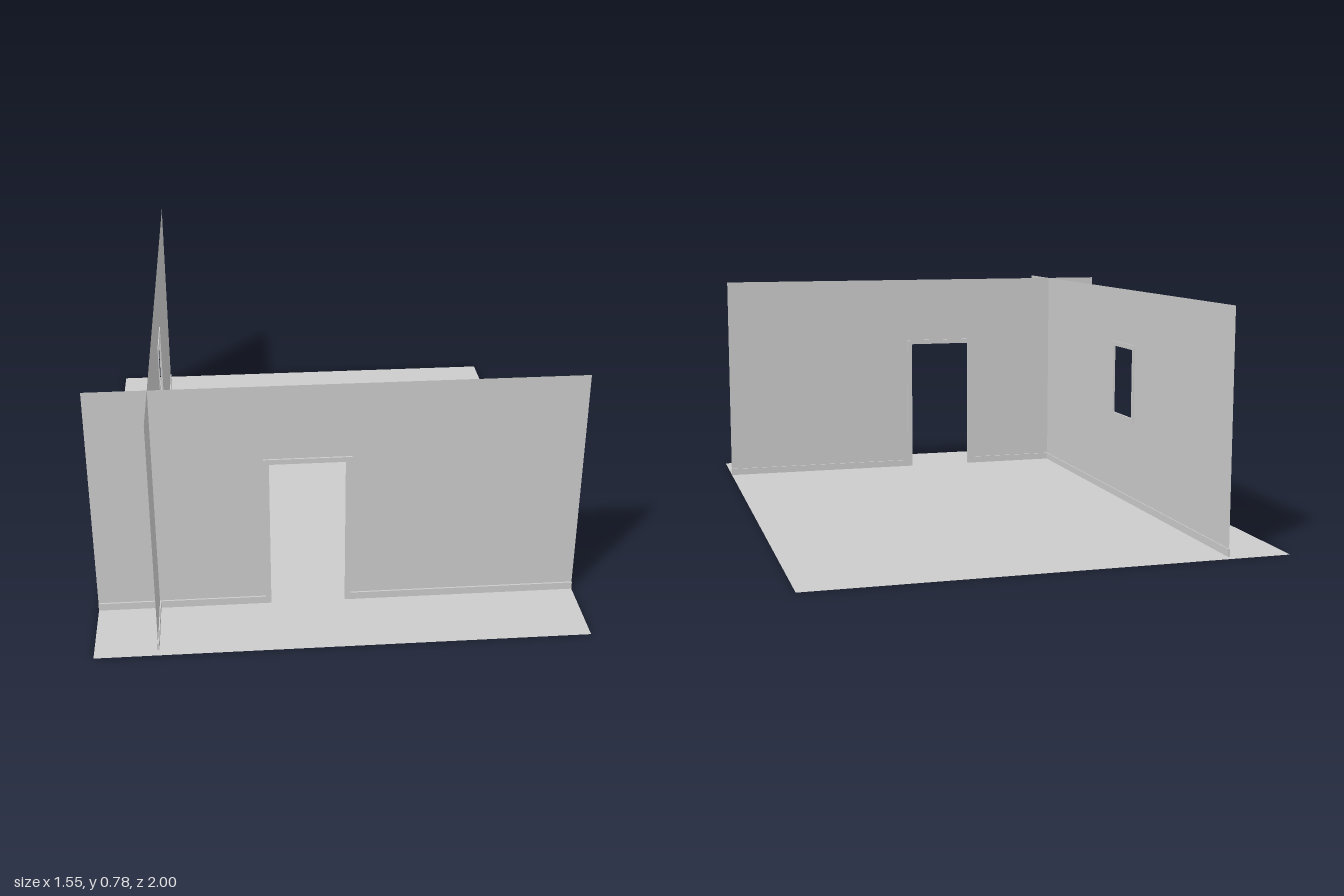
import * as THREE from 'three';

const material = new THREE.MeshStandardMaterial({ color: 0xcccccc, flatShading: true, side: THREE.DoubleSide });
const WALL_H = 0.78, SKIRT_H = 0.025;

// Rectangle outline from two corners
const rect = (x0, y0, x1, y1) => [[x0, y0], [x1, y0], [x1, y1], [x0, y1]].map(p => new THREE.Vector2(...p));

function addMesh(parent, name, geometry) {
  const mesh = new THREE.Mesh(geometry, material);
  mesh.name = name;
  parent.add(mesh);
  return mesh;
}

// Shape extruded evenly to both sides of the wall plane
const slab = (shape, depth) =>
  new THREE.ExtrudeGeometry(shape, { depth, bevelEnabled: false }).translate(0, 0, -depth / 2);

// Thin wall in the XY plane with one framed opening; a door reaches the floor
function framedWall(name, half, outer, inner, depth, isDoor) {
  const wall = new THREE.Group();
  wall.name = name;
  const [x0, y0, x1, y1] = outer;
  const [a0, b0, a1, b1] = inner;

  let panel, frame;
  if (isDoor) {
    const arch = (w, h, l, r, t) => new THREE.Shape([
      [-w[0], 0], [l, 0], [l, t], [r, t], [r, 0], [w[1], 0], [w[1], h], [-w[0], h],
    ].map(p => new THREE.Vector2(...p)));
    panel = arch([half, half], WALL_H, a0, a1, b1);
    frame = arch([-x0, x1], y1, a0, a1, b1);
  } else {
    panel = new THREE.Shape(rect(-half, 0, half, WALL_H));
    panel.holes.push(new THREE.Path(rect(a0, b0, a1, b1)));
    frame = new THREE.Shape(rect(x0, y0, x1, y1));
    frame.holes.push(new THREE.Path(rect(a0, b0, a1, b1)));
  }
  addMesh(wall, 'wallPanel', new THREE.ShapeGeometry(panel));
  addMesh(wall, isDoor ? 'doorFrame' : 'windowFrame', slab(frame, depth));

  // Skirting board, interrupted by the door frame
  const runs = isDoor ? [[-half, x0], [x1, half]] : [[-half, half]];
  for (const [s, e] of runs) {
    addMesh(wall, 'skirting', slab(new THREE.Shape(rect(s, 0, e, SKIRT_H)), depth));
  }
  return wall;
}

export function createModel() {
  const model = new THREE.Group();
  model.name = 'roomCorner';

  // Floor sheet
  addMesh(model, 'floor', new THREE.PlaneGeometry(1.55, 2).rotateX(-Math.PI / 2));

  // Front wall with doorway
  const front = framedWall('doorWall', 0.775, [-0.236, 0, 0.041, 0.53], [-0.218, 0, 0.022, 0.513], 0.011, true);
  front.position.z = 0.744;

  // Long side wall with window, crossing the front wall
  const side = framedWall('windowWall', 0.973, [-0.2, 0.298, 0.004, 0.582], [-0.184, 0.315, -0.009, 0.565], 0.007, false);
  side.rotation.y = -Math.PI / 2;
  side.position.x = -0.578;

  model.add(front, side);
  return model;
}
